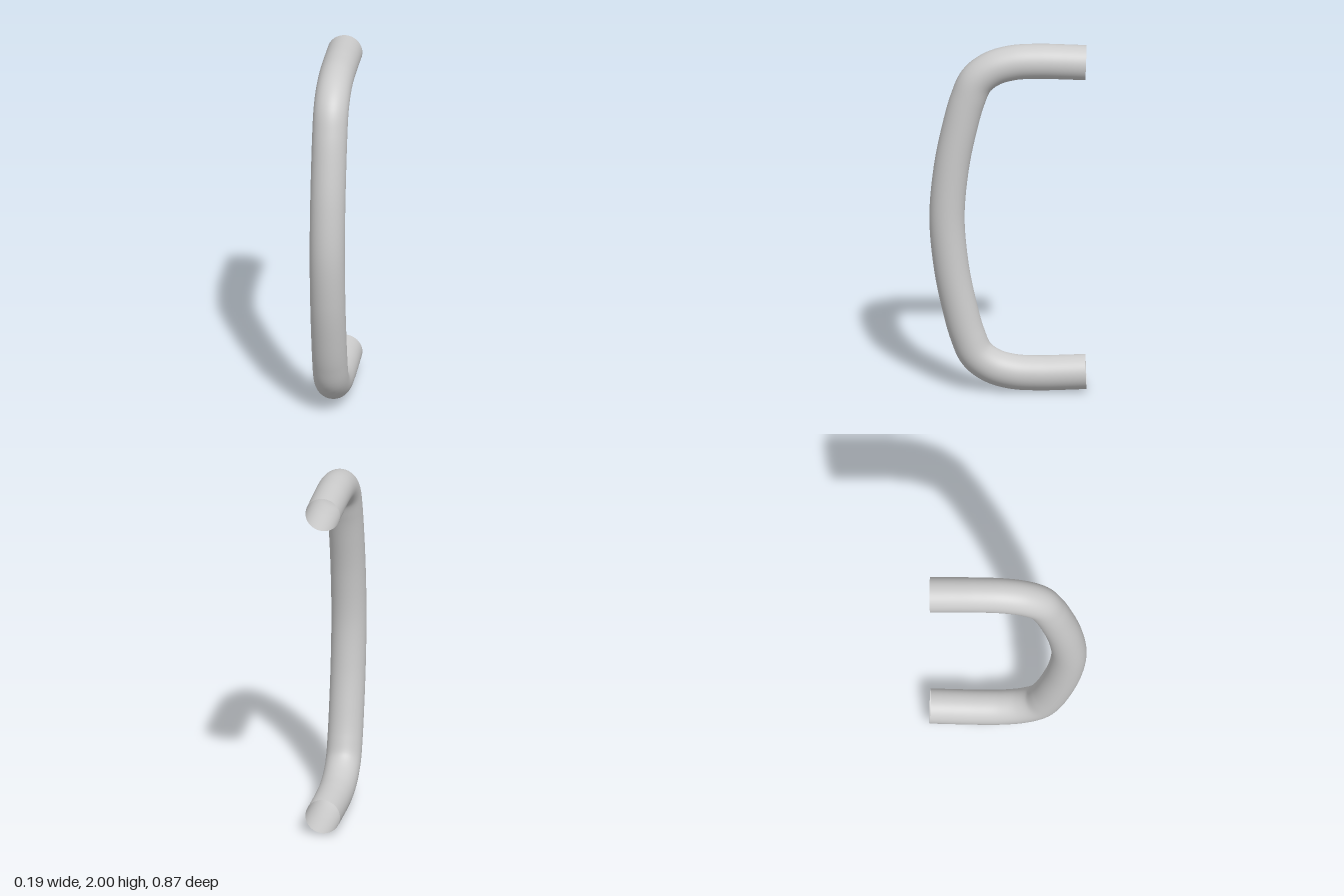
import * as THREE from 'three';

export function createModel() {
  const group = new THREE.Group();
  const radius = 0.097;

  // Upper half of the centre line as [z, y], from the open end to the middle of the grip
  const half = [
    [-0.43, 1.895], [-0.3, 1.9], [-0.17, 1.903], [-0.03, 1.895],
    [0.085, 1.861], [0.172, 1.793],
    [0.222, 1.68], [0.27, 1.5], [0.312, 1.28],
  ];
  const upper = half.map(([z, y]) => new THREE.Vector3(0, y, z));
  const lower = half.map(([z, y]) => new THREE.Vector3(0, 2 - y, z)).reverse();
  const path = new THREE.CatmullRomCurve3(
    [...upper, new THREE.Vector3(0, 1, 0.335), ...lower], false, 'centripetal');
  path.arcLengthDivisions = 1000;

  // Bent pull handle: a hollow tube with open ends
  const handle = new THREE.Mesh(
    new THREE.TubeGeometry(path, 140, radius, 48, false),
    new THREE.MeshStandardMaterial({ color: 0xcccccc, side: THREE.DoubleSide }));
  handle.name = 'pullHandle';
  group.add(handle);
  return group;
}
